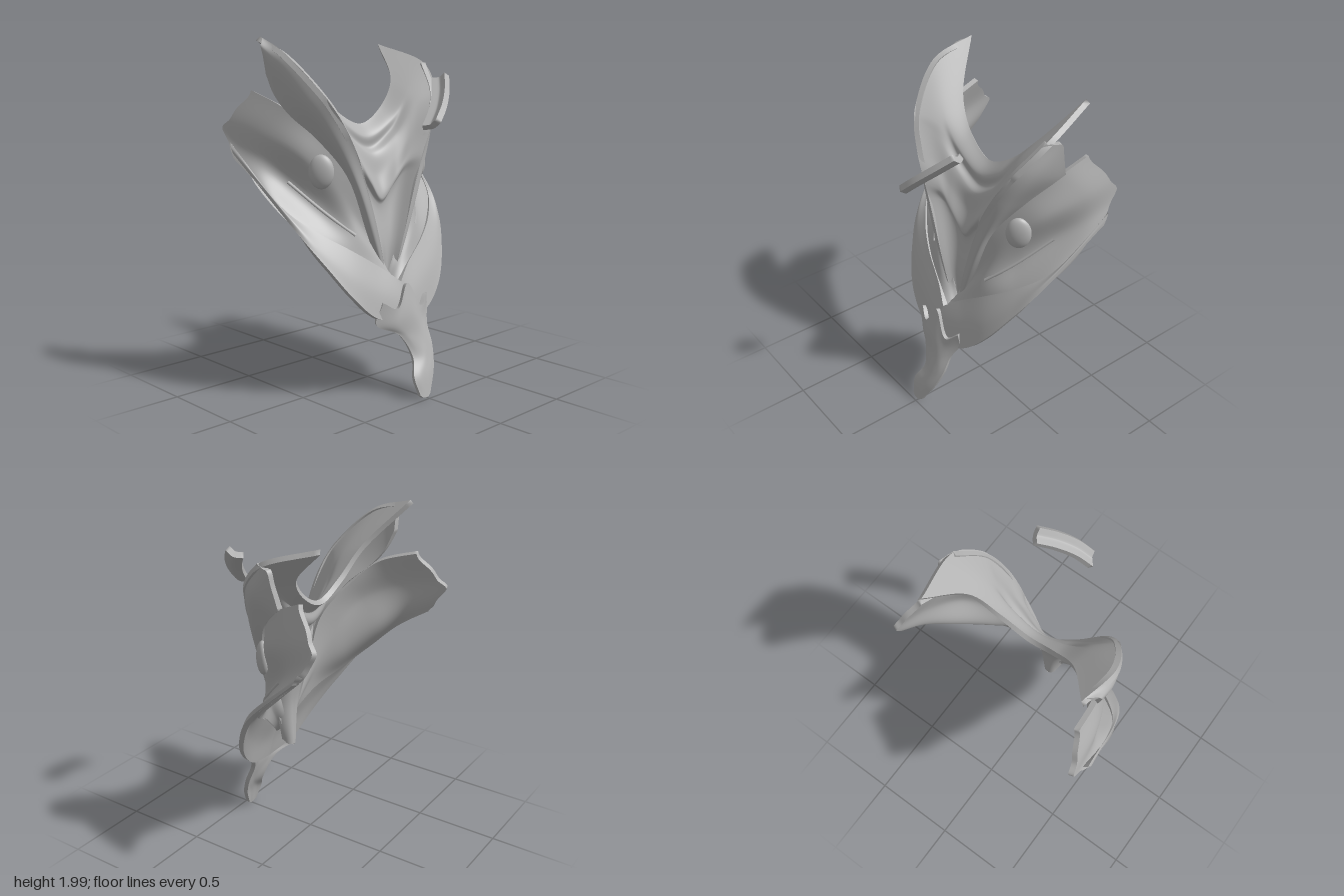
import * as THREE from 'three';

const grey = new THREE.MeshStandardMaterial({ color: 0xb2b2b2 });
grey.name = 'plain grey';

const vec = ([x, y, z]) => new THREE.Vector3(x, y, z);
const curve = (pts) => new THREE.CatmullRomCurve3(pts, false, 'centripetal');
const mirror = (lines) => lines.map((l) => l.map(([x, y, z]) => [-x, y, z]));

// Solid curved plate lofted through guide lines; "ragged" roughens the far end of the lines
function plate(name, lines, { nu = 50, nv = 30, thick = 0.03, ragged = 0 } = {}) {
  const curves = lines.map((l) => curve(l.map(vec)));
  const pts = [];
  const w = nv + 1;
  for (let i = 0; i <= nu; i++) {
    for (let j = 0; j <= nv; j++) {
      const v = j / nv;
      const bite = ragged * (0.5 + 0.35 * Math.sin(v * 9) + 0.15 * Math.sin(v * 19 + 1));
      const across = curve(curves.map((c) => c.getPoint((i / nu) * (1 - bite))));
      pts.push(across.getPoint(v));
    }
  }
  const tris = [];
  for (let i = 0; i < nu; i++) {
    for (let j = 0; j < nv; j++) {
      const a = i * w + j, b = a + 1, c = a + w, d = c + 1;
      tris.push(a, c, b, b, c, d);
    }
  }
  // Outer face, turned so that it looks forward
  const face = new THREE.BufferGeometry().setFromPoints(pts);
  face.setIndex(tris);
  face.computeVertexNormals();
  let n = face.attributes.normal;
  let sum = 0;
  for (let k = 0; k < n.count; k++) sum += n.getZ(k);
  if (sum < 0) {
    for (let k = 0; k < tris.length; k += 3) [tris[k], tris[k + 1]] = [tris[k + 1], tris[k]];
    face.setIndex(tris);
    face.computeVertexNormals();
    n = face.attributes.normal;
  }
  // Inner face
  const inner = pts.map((p, k) => p.clone().addScaledVector(new THREE.Vector3().fromBufferAttribute(n, k), -thick));
  const all = [...pts, ...inner];
  const index = [...tris];
  for (let k = 0; k < tris.length; k += 3) {
    index.push(tris[k] + pts.length, tris[k + 2] + pts.length, tris[k + 1] + pts.length);
  }
  // Rim, with its own vertices so the edge stays sharp
  const loop = [];
  for (let j = 0; j < nv; j++) loop.push(j);
  for (let i = 0; i < nu; i++) loop.push(i * w + nv);
  for (let j = nv; j > 0; j--) loop.push(nu * w + j);
  for (let i = nu; i > 0; i--) loop.push(i * w);
  const start = all.length;
  loop.forEach((k) => all.push(pts[k], inner[k]));
  loop.forEach((_, k) => {
    const a = start + 2 * k, b = start + 2 * ((k + 1) % loop.length);
    if (sum < 0) index.push(a, a + 1, b, b, a + 1, b + 1);
    else index.push(a, b, a + 1, b, b + 1, a + 1);
  });
  const geo = new THREE.BufferGeometry().setFromPoints(all);
  geo.setIndex(index);
  geo.computeVertexNormals();
  const mesh = new THREE.Mesh(geo, grey);
  mesh.name = name;
  return mesh;
}

// Centre of the chest: rows from the middle out to the crest, lowest first,
// with a V-shaped lip and a U-shaped collar fold
const chestRows = [
  [[0, 0.53, 0.15], [0.006, 0.54, 0.15], [0.012, 0.56, 0.16], [0.02, 0.58, 0.18]],
  [[0, 0.8, 0.15], [0.03, 0.81, 0.15], [0.06, 0.83, 0.165], [0.09, 0.85, 0.2]],
  [[0, 1.05, 0.11], [0.1, 1.15, 0.11], [0.17, 1.22, 0.135], [0.22, 1.24, 0.2]],
  [[0, 1.09, 0.125], [0.1, 1.19, 0.135], [0.18, 1.29, 0.15], [0.25, 1.33, 0.2]],
  [[0, 1.22, 0.08], [0.14, 1.32, 0.1], [0.25, 1.44, 0.12], [0.33, 1.49, 0.19]],
  [[0, 1.33, 0.05], [0.17, 1.43, 0.06], [0.3, 1.57, 0.08], [0.41, 1.64, 0.145]],
  [[0, 1.37, 0.01], [0.17, 1.46, 0.02], [0.31, 1.62, 0.05], [0.44, 1.69, 0.12]],
  [[0, 1.43, 0.01], [0.17, 1.51, 0.01], [0.33, 1.68, 0], [0.5, 1.84, -0.03]],
  [[0, 1.5, -0.06], [0.17, 1.58, -0.075], [0.32, 1.74, -0.13], [0.43, 1.95, -0.35]],
];
const rightCorners = { 7: [-0.53, 1.9, -0.08], 8: [-0.5, 1.99, -0.33] };

// Rolled ridge from the low point up to the shoulder
const ridge = [
  [[0.015, 0.58, 0.18], [0.09, 0.85, 0.2], [0.21, 1.22, 0.2], [0.33, 1.49, 0.19], [0.43, 1.67, 0.13], [0.51, 1.85, -0.03]],
  [[0.03, 0.6, 0.18], [0.13, 0.88, 0.195], [0.26, 1.21, 0.185], [0.39, 1.47, 0.13], [0.49, 1.65, 0.03], [0.535, 1.82, -0.1]],
  [[0.04, 0.62, 0.16], [0.17, 0.93, 0.165], [0.28, 1.24, 0.13], [0.41, 1.45, 0.02], [0.49, 1.57, -0.1], [0.52, 1.62, -0.16]],
];

// Flank from under the ridge, tucking in to a groove and out again to the belly band
const flank = [
  [[0, 0.67, 0.17], [0.18, 1.03, 0.155], [0.27, 1.29, 0.12], [0.41, 1.48, 0], [0.5, 1.61, -0.14], [0.54, 1.7, -0.32]],
  [[0, 0.655, 0.19], [0.22, 1, 0.14], [0.36, 1.23, 0.06], [0.48, 1.37, -0.05], [0.57, 1.47, -0.24], [0.61, 1.54, -0.43]],
  [[0, 0.64, 0.22], [0.24, 0.91, 0.155], [0.37, 1.05, 0.02], [0.48, 1.2, -0.13], [0.58, 1.32, -0.27], [0.63, 1.43, -0.42]],
  [[0, 0.61, 0.26], [0.27, 0.82, 0.165], [0.43, 0.92, 0.075], [0.56, 1.04, -0.04], [0.615, 1.17, -0.18], [0.645, 1.35, -0.37]],
];

// Belly band sweeping from the middle up around the side
const belly = [
  [[0, 0.63, 0.275], [0.1, 0.71, 0.23], [0.28, 0.83, 0.17], [0.43, 0.93, 0.085], [0.565, 1.06, -0.05], [0.645, 1.36, -0.36]],
  [[0, 0.52, 0.31], [0.16, 0.59, 0.275], [0.33, 0.71, 0.22], [0.46, 0.85, 0.13], [0.57, 1.02, 0], [0.65, 1.33, -0.345]],
  [[0, 0.4, 0.34], [0.21, 0.46, 0.3], [0.34, 0.58, 0.26], [0.46, 0.76, 0.17], [0.565, 0.96, 0.03], [0.65, 1.3, -0.33]],
];

// Pointed tail with a star-shaped top
const tail = [
  [[-0.17, 0.54, 0.305], [-0.09, 0.5, 0.34], [0, 0.63, 0.325], [0.1, 0.48, 0.34], [0.18, 0.54, 0.305]],
  [[-0.21, 0.42, 0.29], [-0.1, 0.42, 0.35], [0, 0.47, 0.365], [0.1, 0.42, 0.35], [0.19, 0.46, 0.3]],
  [[-0.09, 0.35, 0.35], [-0.04, 0.34, 0.375], [0.03, 0.34, 0.385], [0.09, 0.35, 0.375], [0.15, 0.37, 0.34]],
  [[-0.03, 0.22, 0.4], [0.01, 0.22, 0.415], [0.05, 0.23, 0.42], [0.1, 0.24, 0.41], [0.14, 0.26, 0.39]],
  [[-0.07, 0.12, 0.45], [-0.03, 0.12, 0.46], [0.01, 0.12, 0.46], [0.05, 0.13, 0.455], [0.1, 0.14, 0.44]],
  [[-0.05, 0.02, 0.48], [-0.03, 0.006, 0.485], [-0.01, 0.003, 0.485], [0.01, 0.006, 0.485], [0.03, 0.02, 0.48]],
];

// Loose curved splinter in front of the neckline
const splinter = [-1, 0, 1].map((s) => [
  [0, 1.515, 0.495], [0.08, 1.59, 0.465], [0.17, 1.675, 0.405], [0.25, 1.755, 0.33],
].map(([x, y, z]) => [x + 0.02 * s + (s ? 0 : 0.012), y + 0.02 * s - (s ? 0 : 0.012), z + 0.045 * s]));

export function createModel() {
  const model = new THREE.Group();
  model.name = 'chestArmour';

  const fullRows = chestRows.map((row, r) => {
    const other = row.slice(1).map(([x, y, z]) => [-x, y, z]).reverse();
    if (rightCorners[r]) other[0] = rightCorners[r];
    return [...other, ...row];
  });
  model.add(plate('chestCentre', fullRows, { nu: 60, nv: 80 }));
  model.add(plate('tail', tail, { nu: 40, nv: 40, thick: 0.025 }));
  model.add(plate('splinter', splinter, { nu: 24, nv: 8, thick: 0.035 }));

  for (const side of [1, -1]) {
    const left = side > 0;
    const label = left ? 'left' : 'right';
    const place = (lines) => (left ? lines : mirror(lines));

    // The right shoulder reaches higher and the right flank and belly further back
    const ridgeLines = left ? ridge : ridge.map((l, i) => [
      ...l.slice(0, 5), [[0.53, 1.9, -0.08], [0.555, 1.85, -0.12], [0.53, 1.68, -0.18]][i],
      [[0.5, 1.99, -0.33], [0.56, 1.94, -0.25], [0.54, 1.8, -0.24]][i]]);
    const reach = (lines, dy, dz) => (left ? lines : lines.map((l) => [
      ...l.slice(0, 5), [l[5][0], l[5][1] + dy, l[5][2] - dz]]));

    model.add(plate(label + 'Ridge', place(ridgeLines), { ragged: 0.02 }));
    model.add(plate(label + 'Flank', place(reach(flank, 0.01, 0.1)), { ragged: 0.05 }));
    model.add(plate(label + 'BellyBand', place(reach(belly, 0.05, 0.07))));

    // Eye-shaped boss on the flank
    const boss = new THREE.Mesh(new THREE.SphereGeometry(1, 28, 18), grey);
    boss.name = label + 'Boss';
    boss.scale.set(0.07, 0.095, 0.035);
    boss.position.set(side * 0.39, 1.265, 0.045);
    boss.rotation.y = side * 0.8;
    model.add(boss);

    // Raised seam along the flank groove
    const seam = curve(place([[[0.24, 0.91, 0.155], [0.31, 0.98, 0.09], [0.37, 1.05, 0.02], [0.48, 1.2, -0.13]]])[0].map(vec));
    const seamMesh = new THREE.Mesh(new THREE.TubeGeometry(seam, 40, 0.01, 6), grey);
    seamMesh.name = label + 'Seam';
    model.add(seamMesh);
  }
  return model;
}
